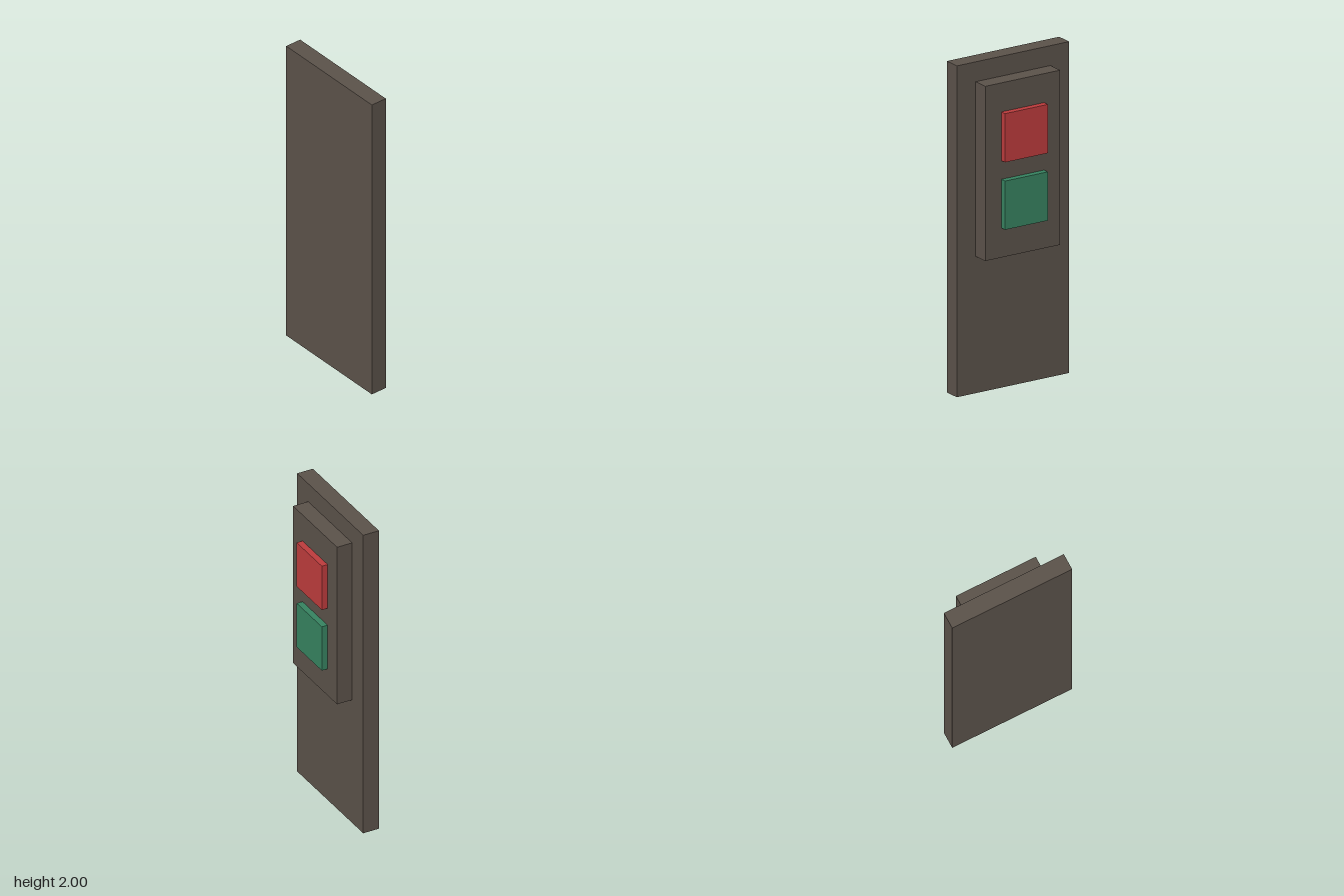
import * as THREE from 'three';

const material = (name, color) => {
  const m = new THREE.MeshStandardMaterial({ color });
  m.name = name;
  return m;
};

// Box given by its x range, y range and full depth, centred on z = 0
function slab(name, mat, [x0, x1], [y0, y1], depth) {
  const mesh = new THREE.Mesh(new THREE.BoxGeometry(x1 - x0, y1 - y0, depth), mat);
  mesh.position.set((x0 + x1) / 2, (y0 + y1) / 2, 0);
  mesh.name = name;
  return mesh;
}

export function createModel() {
  const group = new THREE.Group();
  group.name = 'buttonPanel';

  const casing = material('casing brown', 0x5a5149);
  const red = material('button red', 0xbb3b3c);
  const green = material('button green', 0x36815f);

  group.add(
    // Tall back plate and the raised panel on its +x side
    slab('backPlate', casing, [-0.12, -0.017], [0, 2], 0.773),
    slab('raisedPanel', casing, [-0.017, 0.082], [0.826, 1.88], 0.515),
    // Two square buttons
    slab('redButton', red, [0.082, 0.12], [1.411, 1.705], 0.294),
    slab('greenButton', green, [0.082, 0.12], [1.004, 1.298], 0.294),
  );
  return group;
}
